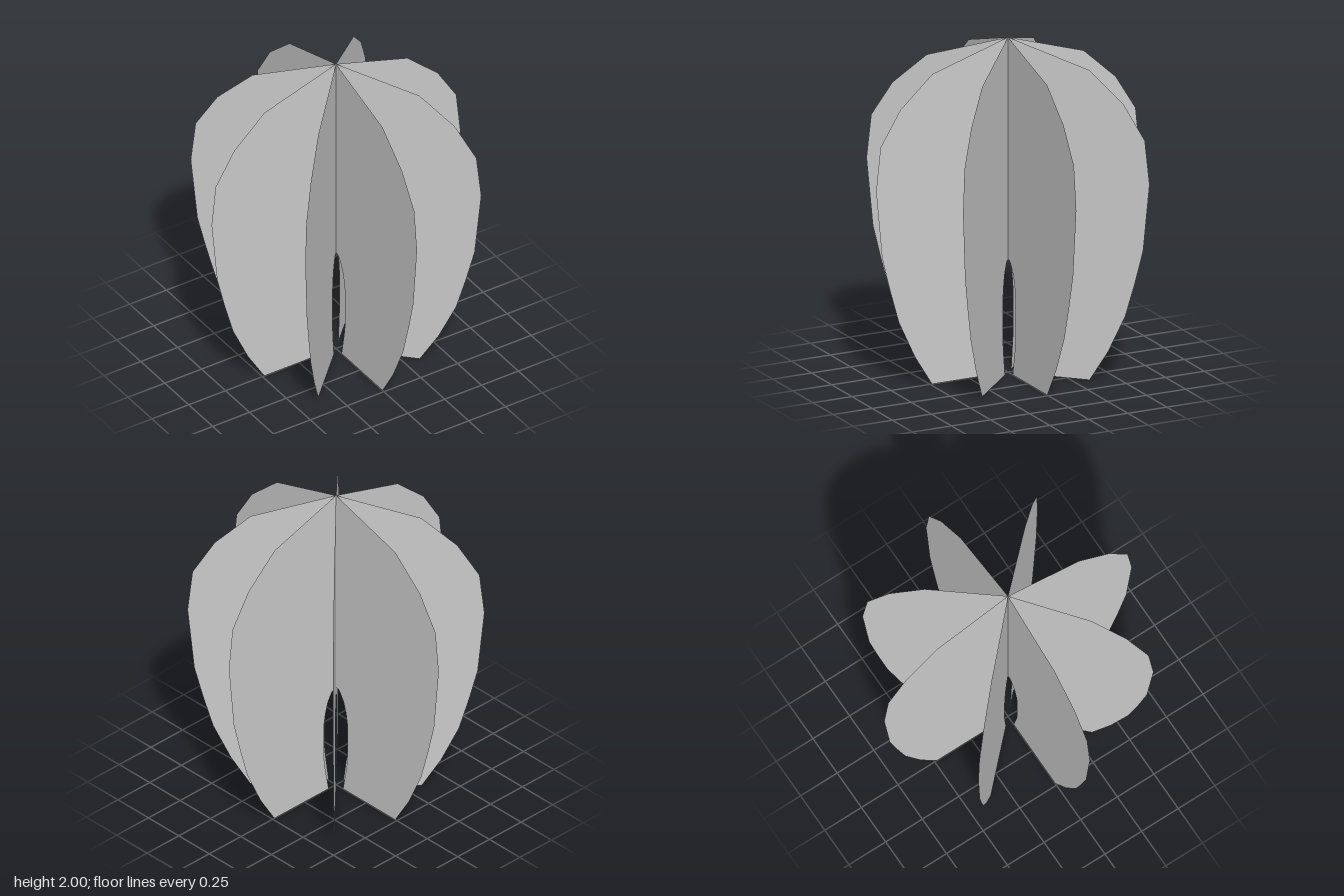
import * as THREE from 'three';

export function createModel() {
  const model = new THREE.Group();
  model.name = 'crossedFins';

  const material = new THREE.MeshStandardMaterial({
    color: 0xcccccc, flatShading: true, side: THREE.DoubleSide,
  });

  // Outer edge of one fin (radius, height), from the foot to the tip
  const outer = [
    [0.487, 0], [0.598, 0.18], [0.7, 0.4], [0.757, 0.6], [0.807, 0.8],
    [0.845, 1.2], [0.817, 1.46], [0.69, 1.665], [0.485, 1.85], [0, 2],
  ];
  // Inner edge around the arched opening, from the axis down to the foot
  const inner = [
    [0, 0.673], [0.018, 0.67], [0.036, 0.65], [0.064, 0.6], [0.083, 0.53],
    [0.094, 0.46], [0.094, 0.22], [0.085, 0.15], [0.058, 0],
  ];

  const outline = [...outer, ...inner].map(([r, y]) => new THREE.Vector2(r, y));
  const finGeometry = new THREE.ShapeGeometry(new THREE.Shape(outline));

  // Eight flat fins around the vertical axis
  const count = 8;
  for (let i = 0; i < count; i++) {
    const fin = new THREE.Mesh(finGeometry, material);
    fin.name = `fin${i + 1}`;
    fin.rotation.y = (i / count) * Math.PI * 2;
    model.add(fin);
  }
  return model;
}
